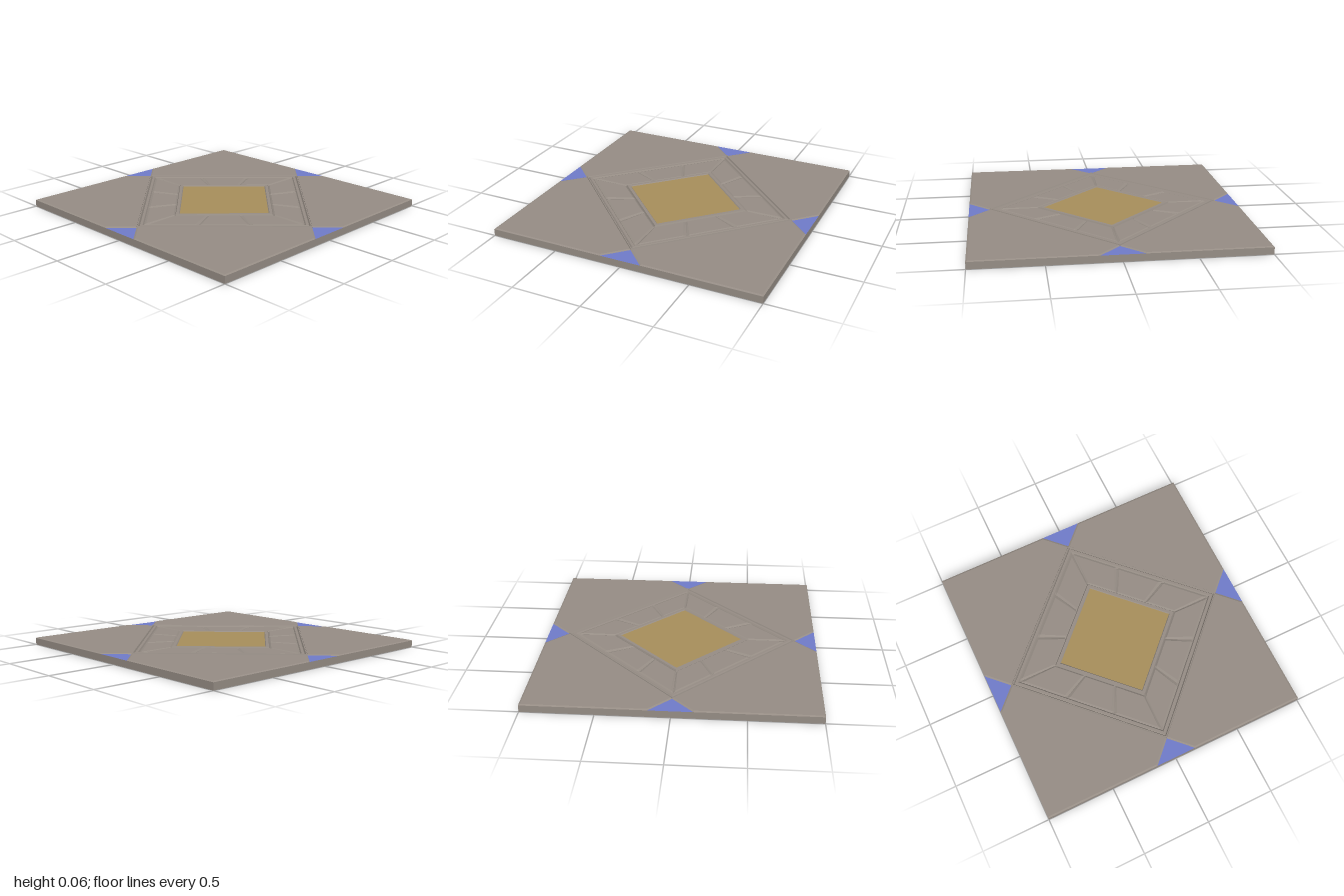
import * as THREE from 'three';

const makeMaterial = (name, color) => {
  const m = new THREE.MeshStandardMaterial({ color, side: THREE.DoubleSide, flatShading: true });
  m.name = name;
  return m;
};

// Mesh from convex polygons, each a list of [x, y, z] corners
function polygonMesh(name, polygons, material) {
  const pos = [];
  for (const p of polygons)
    for (let i = 1; i < p.length - 1; i++) pos.push(...p[0], ...p[i], ...p[i + 1]);
  const g = new THREE.BufferGeometry();
  g.setAttribute('position', new THREE.Float32BufferAttribute(pos, 3));
  g.computeVertexNormals();
  const mesh = new THREE.Mesh(g, material);
  mesh.name = name;
  return mesh;
}

// Point on a diamond of radius r; side 0..3, t runs along the side
function diamondPoint(r, side, t, y) {
  const c = [[0, 1], [1, 0], [0, -1], [-1, 0]];
  const a = c[side], b = c[(side + 1) % 4];
  return [r * (a[0] + (b[0] - a[0]) * t), y, r * (a[1] + (b[1] - a[1]) * t)];
}

// Diamond ring swept through radii and split along each side; height(r index, t index)
function diamondRing(name, radii, ts, height, material) {
  const quads = [];
  for (let s = 0; s < 4; s++)
    for (let i = 0; i < radii.length - 1; i++)
      for (let j = 0; j < ts.length - 1; j++) {
        const p = (a, b) => diamondPoint(radii[a], s, ts[b], height(a, b));
        quads.push([p(i, j), p(i, j + 1), p(i + 1, j + 1), p(i + 1, j)]);
      }
  return polygonMesh(name, quads, material);
}

export function createModel() {
  const group = new THREE.Group();
  const stone = makeMaterial('stone', 0x968d85);
  const gold = makeMaterial('gold', 0xa88f5b);
  const blue = makeMaterial('blue', 0x707bca);
  const low = 0.05, high = 0.055, R = 0.85, d = 0.012;

  // Side walls, open underneath
  const square = [[-1, 1], [1, 1], [1, -1], [-1, -1]];
  group.add(polygonMesh('sideWalls', square.map(([x, z], i) => {
    const [u, w] = square[(i + 1) % 4];
    return [[x, 0, z], [u, 0, w], [u, low, w], [x, low, z]];
  }), stone));

  // Four corner slabs with bevelled borders, and the blue inlays between them
  const k = 1 - R;
  const outer = [[k, 1], [1, 1], [1, k], [R, 0], [0, R]];
  const e = 1 - d, f = k + 0.414 * d, h = 0.707 * d;
  const inner = [[f, e], [e, e], [e, f], [R - h, h], [h, R - h]];
  for (let q = 0; q < 4; q++) {
    const at = (list, y) => list.map(([x, z]) => [x, y, z]);
    const o = at(outer, low), n = at(inner, high), faces = [n];
    for (let i = 0; i < 5; i++) {
      const j = (i + 1) % 5;
      faces.push([o[i], o[j], n[j], n[i]]);
    }
    const slab = polygonMesh('cornerSlab', faces, stone);
    const inlay = polygonMesh('blueInlay', [at([[-k, 1], [k, 1], [0, R]], low)], blue);
    slab.rotation.y = inlay.rotation.y = q * Math.PI / 2;
    group.add(slab, inlay);
  }

  // Raised outer moulding
  const rim = [[R, low], [0.846, 0.06], [0.836, 0.06], [0.828, 0.05], [0.82, 0.057], [0.795, 0.057], [0.785, 0.048]];
  group.add(diamondRing('outerMoulding', rim.map(p => p[0]), [0, 1], i => rim[i][1], stone));

  // Ring of twelve paving stones separated by V joints
  const g = 0.02;
  const ts = [0, g, 1 / 3 - g, 1 / 3, 1 / 3 + g, 2 / 3 - g, 2 / 3, 2 / 3 + g, 1 - g, 1];
  const joint = 0.046, face = 0.053;
  group.add(diamondRing('pavingStones', [0.785, 0.765, 0.51, 0.495], ts,
    (i, j) => (i === 0 ? 0.048 : i === 3 || j % 3 === 0 ? joint : face), stone));

  // Inner moulding and gold centre
  const frame = [[0.495, joint], [0.487, 0.057], [0.458, 0.057], [0.45, 0.051]];
  group.add(diamondRing('innerMoulding', frame.map(p => p[0]), [0, 1], i => frame[i][1], stone));
  group.add(polygonMesh('goldCentre', [[0, 1, 2, 3].map(s => diamondPoint(0.45, s, 0, 0.051))], gold));

  return group;
}
